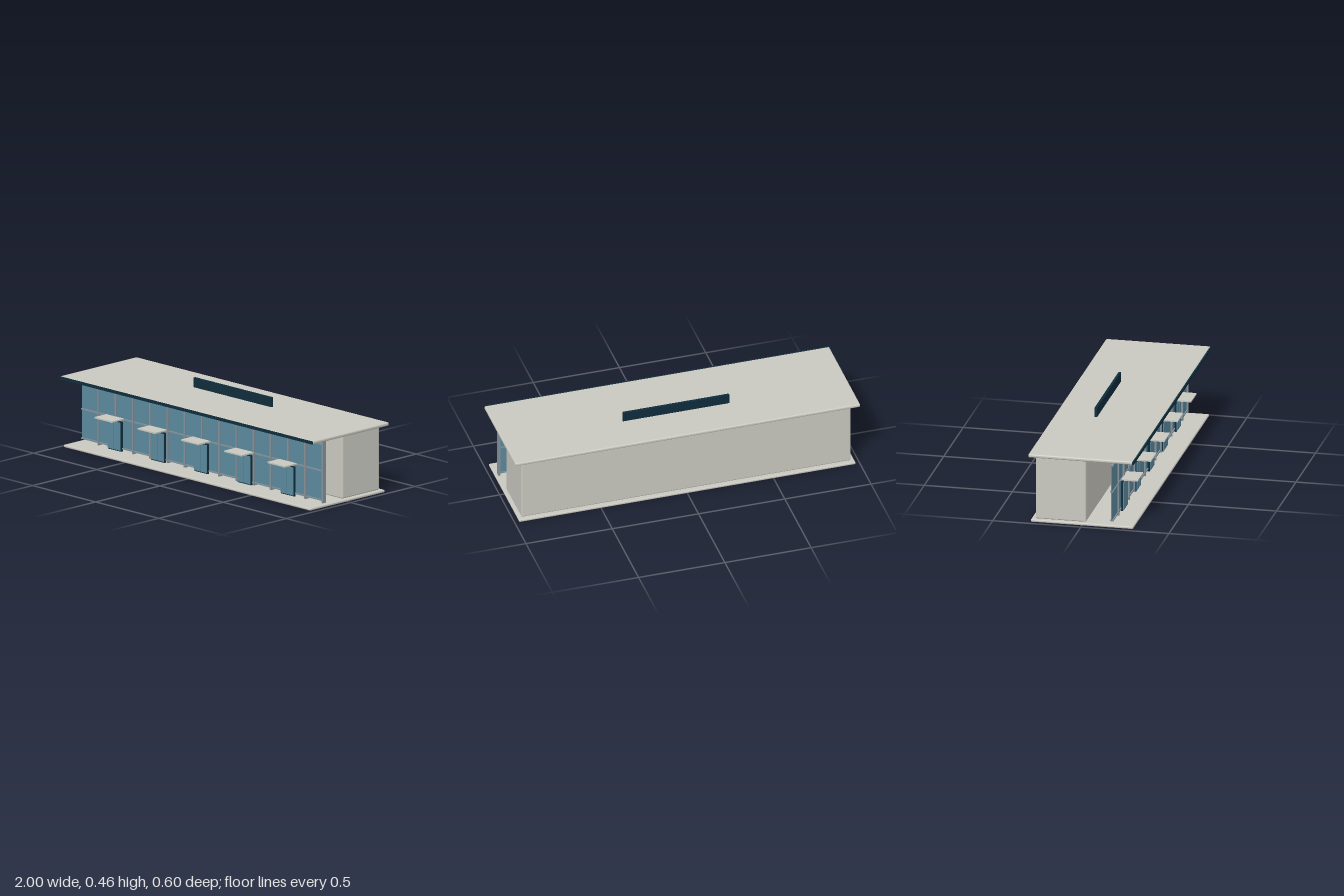
import * as THREE from 'three';
import { RoundedBoxGeometry } from 'three/addons/geometries/RoundedBoxGeometry.js';

export function createModel() {
  const material = (name, color) => {
    const m = new THREE.MeshStandardMaterial({ color });
    m.name = name;
    return m;
  };
  const stone = material('stone', 0xc9c8c0);
  const glass = material('glass', 0x5b8a9e);
  const navy = material('navy', 0x0f2d3c);
  const metal = material('metal', 0x84929a);

  const model = new THREE.Group();
  model.name = 'pavilion';

  // Box given by its [min, max] range on each axis; r rounds the edges
  const box = (name, mat, [x0, x1], [y0, y1], [z0, z1], r = 0, parent = model) => {
    const size = [x1 - x0, y1 - y0, z1 - z0];
    const geo = r ? new RoundedBoxGeometry(...size, 3, r) : new THREE.BoxGeometry(...size);
    const mesh = new THREE.Mesh(geo, mat);
    mesh.name = name;
    mesh.position.set((x0 + x1) / 2, (y0 + y1) / 2, (z0 + z1) / 2);
    parent.add(mesh);
    return mesh;
  };

  // Main volumes
  box('baseSlab', stone, [-0.975, 0.975], [0, 0.015], [-0.291, 0.291], 0.006);
  box('rearHall', stone, [-0.955, 0.955], [0.015, 0.386], [-0.267, 0.02], 0.008);
  box('roofSlab', stone, [-1, 1], [0.385, 0.405], [-0.3, 0.294], 0.008);
  box('roofFascia', navy, [-1, 1], [0.387, 0.403], [0.292, 0.3]);
  box('roofSignPanel', navy, [-0.308, 0.308], [0.404, 0.46], [-0.076, -0.062]);

  // Glazed front with posts and rails
  const facade = new THREE.Group();
  facade.name = 'glassFacade';
  model.add(facade);
  box('glassWall', glass, [-0.955, 0.955], [0.035, 0.355], [0.16, 0.168], 0, facade);
  const bay = 1.91 / 14;
  for (let i = 1; i <= 14; i++) {
    const x = -0.955 + i * bay;
    box('post', metal, [x - 0.005, x + 0.005], [0.02, 0.38], [0.152, 0.178], 0, facade);
  }
  for (const y of [0.035, 0.203, 0.355]) {
    box('rail', metal, [-0.955, 0.955], [y - 0.004, y + 0.004], [0.156, 0.174], 0, facade);
  }

  // Double doors, each under a small canopy
  for (let i = -2; i <= 2; i++) {
    const door = new THREE.Group();
    door.name = 'entrance';
    door.position.x = i * 0.342;
    model.add(door);
    box('doorFrame', navy, [-0.053, 0.053], [0.018, 0.188], [0.169, 0.181], 0, door);
    for (const s of [-1, 1]) {
      const x = s * 0.0255;
      box('doorLeaf', glass, [x - 0.0235, x + 0.0235], [0.024, 0.183], [0.18, 0.186], 0, door);
    }
    box('canopy', stone, [-0.07, 0.07], [0.203, 0.211], [0.176, 0.269], 0, door);
  }
  return model;
}
